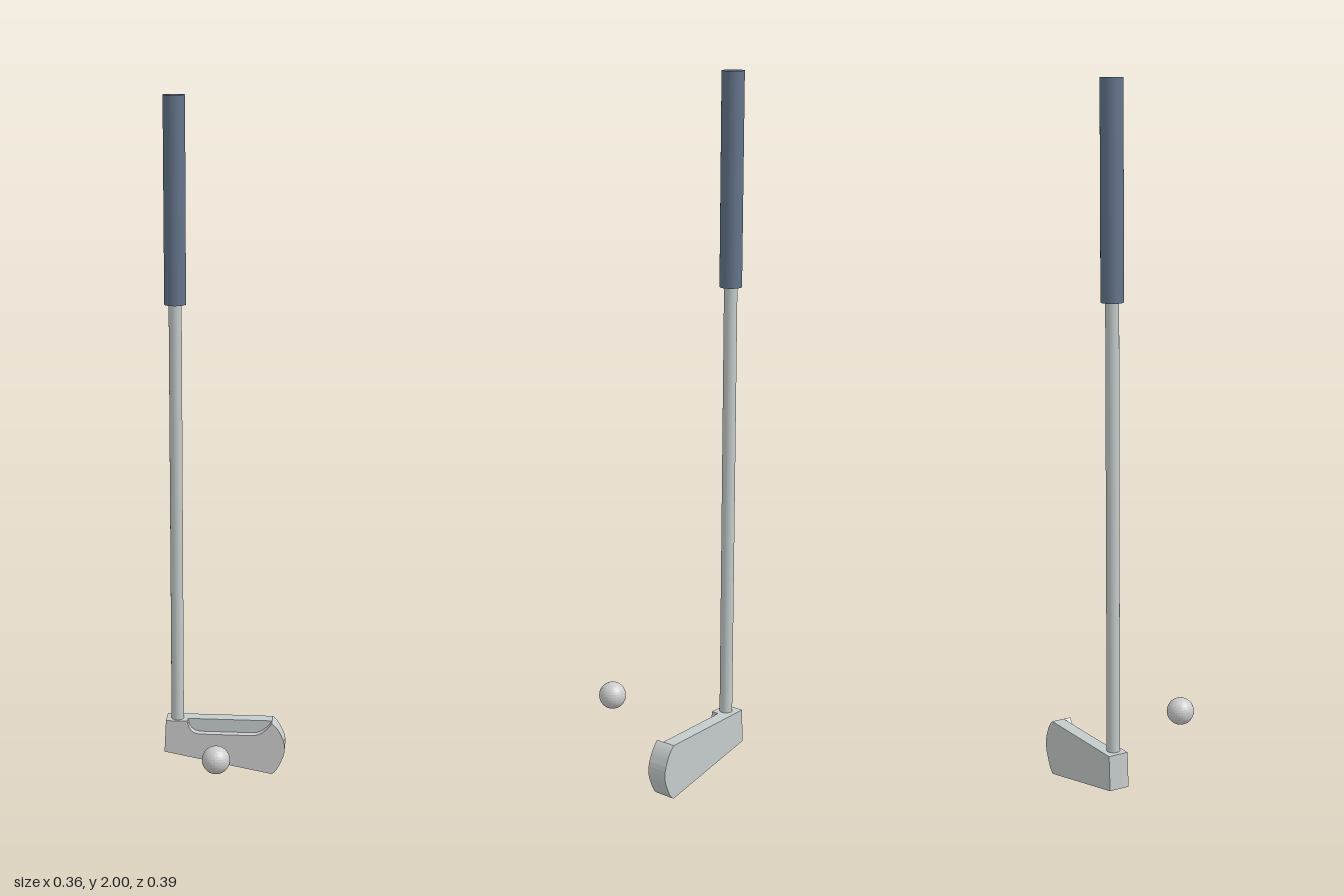
import * as THREE from 'three';

const GRIP_X = -0.143, GRIP_Z = -0.161;

function mat(color = 0xcccccc, flatShading = false) {
  return new THREE.MeshStandardMaterial({ color, flatShading });
}

// Putter blade outline; the notched version has a scooped top edge.
function bladeShape(notched) {
  const s = new THREE.Shape();
  s.moveTo(-0.176, 0.165);
  s.lineTo(-0.181, 0.065);
  s.lineTo(0.141, 0.003);
  s.quadraticCurveTo(0.155, 0.008, 0.17, 0.045);
  s.quadraticCurveTo(0.19, 0.085, 0.17, 0.125);
  s.quadraticCurveTo(0.16, 0.15, 0.141, 0.165);
  if (notched) {
    s.quadraticCurveTo(0.115, 0.127, 0.085, 0.125);
    s.lineTo(-0.075, 0.125);
    s.quadraticCurveTo(-0.108, 0.127, -0.111, 0.165);
  }
  s.closePath();
  return s;
}

export function createModel() {
  const group = new THREE.Group();
  const add = (name, geometry, material, x, y, z) => {
    const mesh = new THREE.Mesh(geometry, material);
    mesh.name = name;
    mesh.position.set(x, y, z);
    group.add(mesh);
  };
  const blade = (notched, depth) => new THREE.ExtrudeGeometry(
    bladeShape(notched), { depth, bevelEnabled: false, curveSegments: 6 });
  const steel = mat(0xc4cccb);

  // Head: full back plate with a notched plate in front
  add('headBack', blade(false, 0.038), steel, 0, -0.003, -0.195);
  add('headFront', blade(true, 0.022), mat(), 0, -0.003, -0.157);

  // Shaft and grip
  add('shaft', new THREE.CylinderGeometry(0.0185, 0.0185, 1.3, 24), steel, GRIP_X, 0.79, GRIP_Z);
  add('grip', new THREE.CylinderGeometry(0.031, 0.031, 0.583, 32), mat(0x64748b), GRIP_X, 1.7085, GRIP_Z);

  // Ball
  add('ball', new THREE.SphereGeometry(0.04, 32, 16), mat(0xcccccc, true), -0.003, 0.17, 0.155);
  return group;
}
